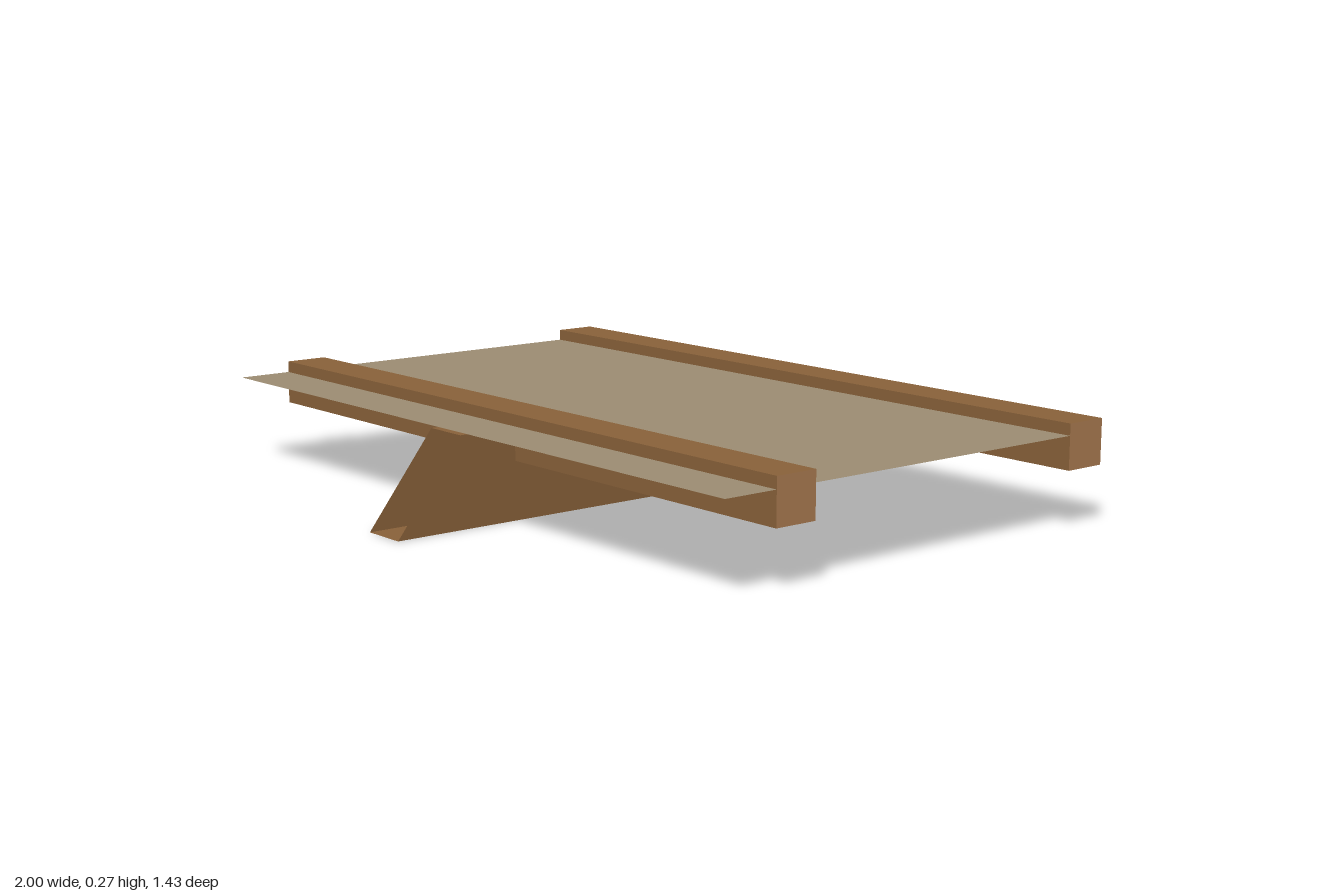
import * as THREE from 'three';

export function createModel() {
  const model = new THREE.Group();
  model.name = 'plankFrame';

  const mat = (name, color) => {
    const m = new THREE.MeshStandardMaterial({ color, side: THREE.DoubleSide });
    m.name = name;
    return m;
  };
  const wood = mat('brownWood', 0x8a623a);
  const endGrain = mat('paleEndGrain', 0xad7d52);
  const cloth = mat('greyBeigeSheet', 0x9d8d73);

  const add = (name, geometry, material) => {
    const mesh = new THREE.Mesh(geometry, material);
    mesh.name = name;
    model.add(mesh);
    return mesh;
  };

  // Square cross beams with pale sawn ends
  const sides = [endGrain, endGrain, wood, wood, wood, wood];
  for (const [name, z] of [['frontCrossBeam', 0.307], ['backCrossBeam', -0.656]]) {
    add(name, new THREE.BoxGeometry(2, 0.116, 0.117), sides).position.set(0, 0.209, z);
  }

  // Thin sheet running through the cross beams
  const front = 0.515, back = -0.656;
  const sheet = add('sheet', new THREE.PlaneGeometry(2, front - back), cloth);
  sheet.rotation.x = -Math.PI / 2;
  sheet.position.set(0, 0.237, (front + back) / 2);

  // Central beam: hollow, with a slanted open front end
  const w = 0.061, h = 0.235, tip = 0.715, top = 0.53, rear = -0.692;
  const quad = (...corners) => {
    const g = new THREE.BufferGeometry();
    g.setAttribute('position', new THREE.Float32BufferAttribute(corners.flat(), 3));
    g.setIndex([0, 1, 2, 0, 2, 3]);
    g.computeVertexNormals();
    return g;
  };
  add('centreBeamLeftSide', quad([w, 0, tip], [w, 0, rear], [w, h, rear], [w, h, top]), wood);
  add('centreBeamRightSide', quad([-w, 0, rear], [-w, 0, tip], [-w, h, top], [-w, h, rear]), wood);
  add('centreBeamTop', quad([-w, h, top], [w, h, top], [w, h, rear], [-w, h, rear]), wood);
  add('centreBeamBottom', quad([-w, 0, rear], [w, 0, rear], [w, 0, tip], [-w, 0, tip]), wood);
  add('centreBeamBackEnd', quad([w, 0, rear], [-w, 0, rear], [-w, h, rear], [w, h, rear]), endGrain);

  return model;
}
